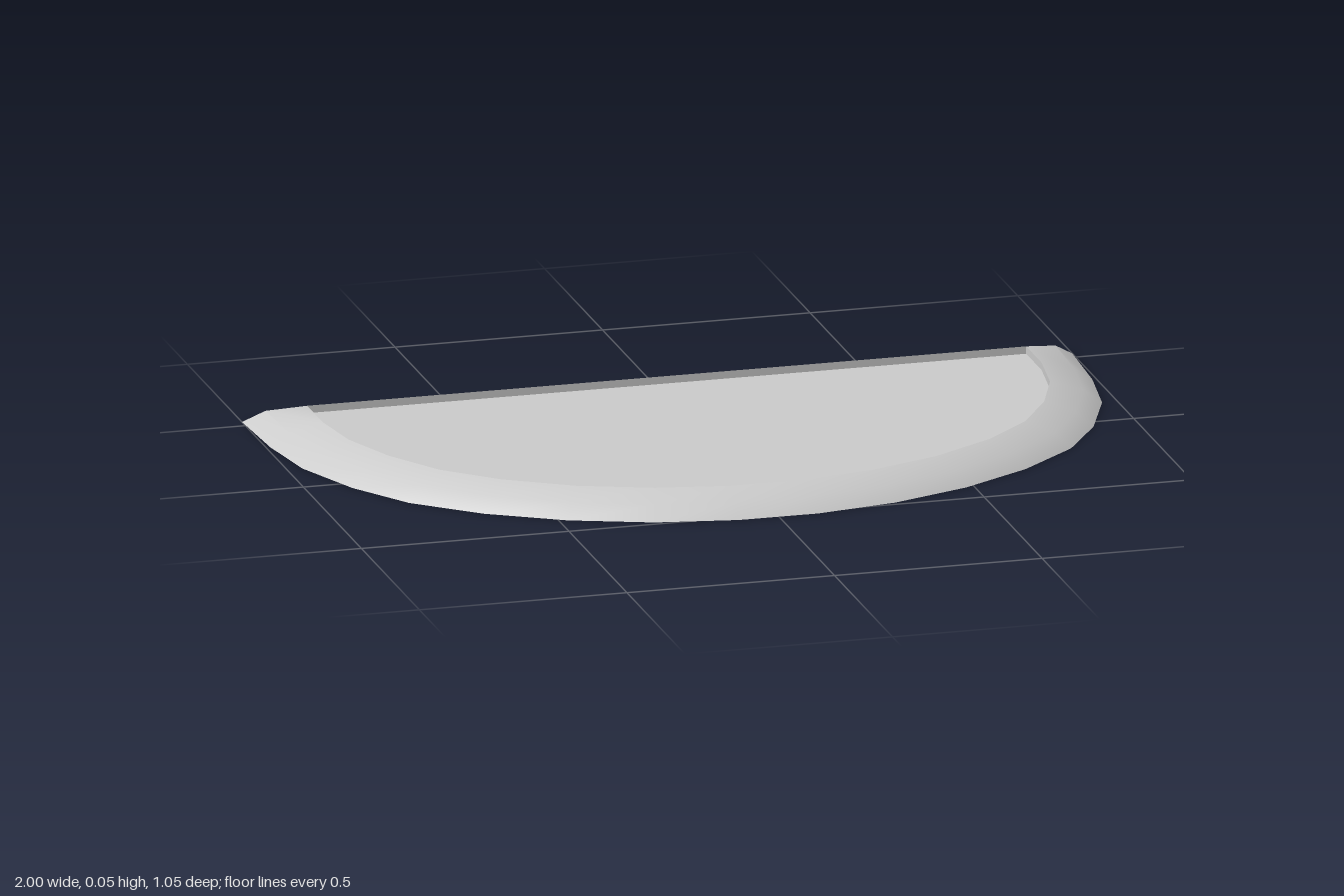
import * as THREE from 'three';
import { toCreasedNormals } from 'three/addons/utils/BufferGeometryUtils.js';

// Left half of the half-round outline as [x, z], from back corner to front centre
const outerHalf = [[1, -0.53], [0.99, -0.32], [0.963, -0.14], [0.893, 0.037], [0.797, 0.187],
  [0.652, 0.315], [0.48, 0.417], [0.29, 0.487], [0.096, 0.521]];
const innerHalf = [[0.866, -0.447], [0.866, -0.315], [0.845, -0.166], [0.79, -0.02], [0.706, 0.118],
  [0.588, 0.23], [0.433, 0.326], [0.262, 0.39], [0.09, 0.422]];
const BASE = 0.008, SHOULDER = 0.04, TOP = 0.061, PANEL = 0.043;

const mirrored = (half) => [...half, ...half.map(([x, z]) => [-x, z]).reverse()];

// Closed loops of [x, z] points at given heights, joined by bands of quads
function loft(rings) {
  const n = rings[0].points.length;
  const positions = [], index = [];
  for (const { points, y } of rings) for (const [x, z] of points) positions.push(x, y, z);
  for (let r = 0; r < rings.length - 1; r++) {
    for (let i = 0; i < n; i++) {
      const a = r * n + i, b = r * n + (i + 1) % n;
      index.push(a, a + n, b, b, a + n, b + n);
    }
  }
  const geometry = new THREE.BufferGeometry();
  geometry.setAttribute('position', new THREE.Float32BufferAttribute(positions, 3));
  geometry.setIndex(index);
  return toCreasedNormals(geometry, Math.PI / 6);
}

export function createModel() {
  const group = new THREE.Group();
  group.name = 'halfRoundMat';
  const material = new THREE.MeshStandardMaterial({ color: 0xcccccc, side: THREE.DoubleSide });

  const outer = mirrored(outerHalf);
  const inner = mirrored(innerHalf);
  const shoulder = outer.map(([x, z], i) => {
    const t = 0.36;
    return [x + (inner[i][0] - x) * t, z + (inner[i][1] - z) * t];
  });

  // Sloped border, with a short step down to the panel
  const border = new THREE.Mesh(loft([
    { points: outer, y: BASE },
    { points: shoulder, y: SHOULDER },
    { points: inner, y: TOP },
    { points: inner, y: PANEL },
  ]), material);
  border.name = 'border';
  group.add(border);

  // Flat recessed panel
  const shape = new THREE.Shape(inner.map(([x, z]) => new THREE.Vector2(x, -z)));
  const panel = new THREE.Mesh(new THREE.ShapeGeometry(shape).rotateX(-Math.PI / 2), material);
  panel.position.y = PANEL;
  panel.name = 'panel';
  group.add(panel);

  return group;
}
